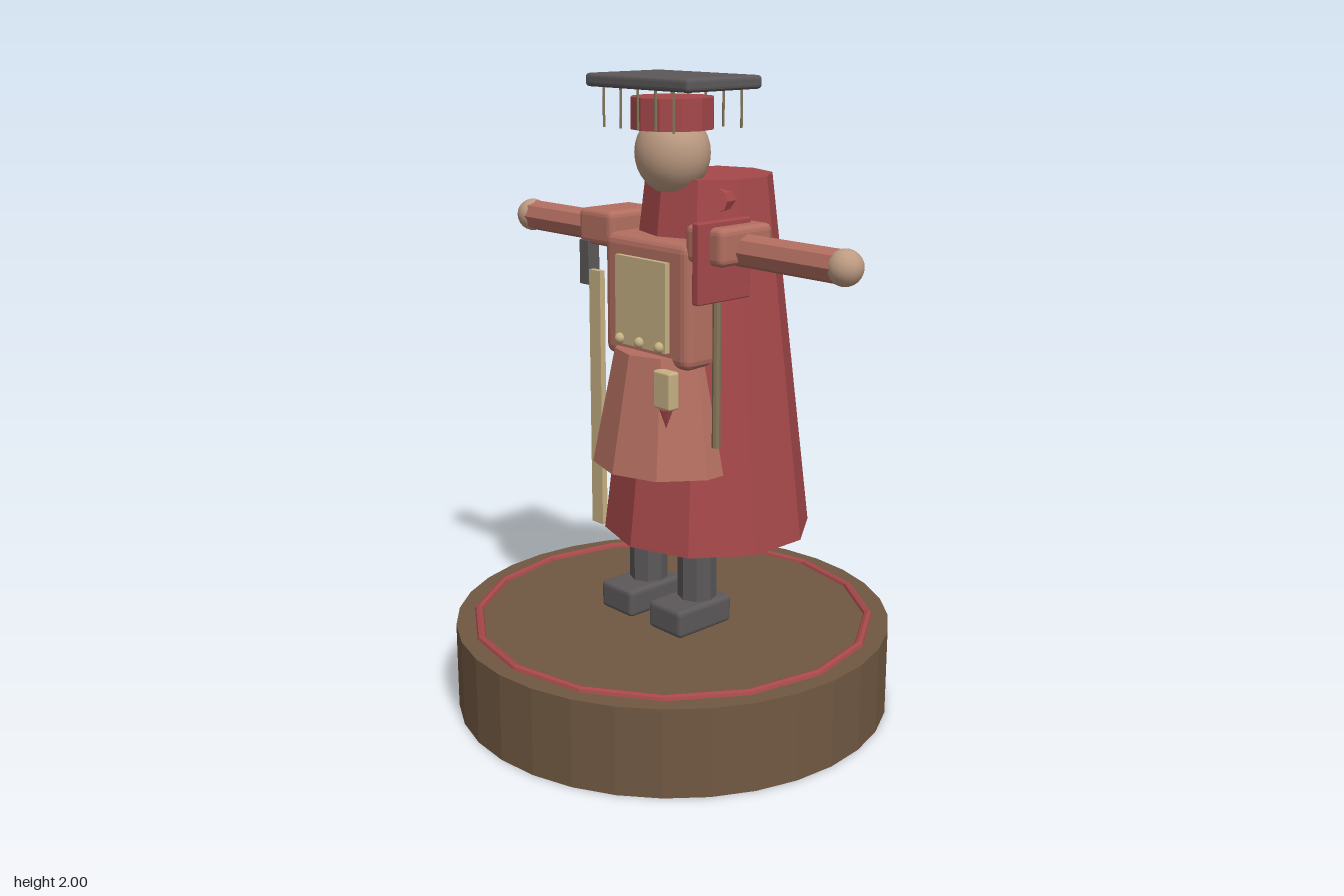
import * as THREE from 'three';
import { RoundedBoxGeometry } from 'three/addons/geometries/RoundedBoxGeometry.js';

const paint = (name, color, flatShading = true) =>
  Object.assign(new THREE.MeshStandardMaterial({ color }), { name, flatShading });

export function createModel() {
  const red = paint('robe red', 0xa5484a);
  const salmon = paint('salmon cloth', 0xb36f61);
  const gold = paint('pale gold', 0xc6b184, false);
  const skin = paint('skin', 0xbd9b82, false);
  const grey = paint('dark grey', 0x5c585a);
  const brown = paint('wood brown', 0x705842);
  const cord = paint('cord', 0x86765a);

  const model = new THREE.Group();
  model.name = 'robedFigure';

  const add = (name, geometry, material, x, y, z) => {
    const mesh = new THREE.Mesh(geometry, material);
    mesh.name = name;
    mesh.position.set(x, y, z);
    model.add(mesh);
    return mesh;
  };
  const rounded = (w, h, d, r) => new RoundedBoxGeometry(w, h, d, 2, r);
  const cone = (top, bottom, h, sides) => new THREE.CylinderGeometry(top, bottom, h, sides);

  // Round base with an inlaid ring
  add('base', cone(0.7, 0.7, 0.28, 32), brown, 0, 0.14, 0);
  add('baseRing', new THREE.TorusGeometry(0.635, 0.015, 8, 16), red, 0, 0.278, 0).rotation.x = Math.PI / 2;

  // Cape, with a half-ring collar showing at the shoulders
  add('cape', cone(0.198, 0.336, 1.145, 10), red, 0, 1.1225, -0.155);
  const collar = new THREE.TorusGeometry(0.16, 0.035, 8, 12, Math.PI);
  add('collar', collar, red, 0, 1.635, -0.04).rotation.x = -Math.PI / 2;

  // Skirt and torso
  add('skirt', cone(0.18, 0.252, 0.365, 10), salmon, 0, 0.9875, 0);
  add('torso', rounded(0.38, 0.385, 0.235, 0.03), salmon, 0, 1.328, 0);
  add('chestPlate', new THREE.BoxGeometry(0.228, 0.275, 0.02), gold, 0, 1.323, 0.125);
  for (const x of [-0.09, 0, 0.09]) {
    add('button', new THREE.SphereGeometry(0.017, 12, 8), gold, x, 1.202, 0.138);
  }

  // Legs, boots, shoulders, arms and hands on both sides
  for (const s of [-1, 1]) {
    add('leg', cone(0.062, 0.062, 0.34, 8), grey, s * 0.115, 0.48, 0);
    add('boot', rounded(0.148, 0.09, 0.228, 0.015), grey, s * 0.115, 0.328, 0.03);
    add('shoulder', rounded(0.158, 0.113, 0.215, 0.02), salmon, s * 0.244, 1.524, 0);
    add('arm', cone(0.05, 0.05, 0.52, 8), salmon, s * 0.44, 1.508, 0).rotation.z = Math.PI / 2;
    add('hand', new THREE.SphereGeometry(0.053, 16, 12), skin, s * 0.695, 1.508, 0);
  }

  // Head
  add('head', new THREE.SphereGeometry(0.12, 24, 16), skin, 0, 1.768, 0).scale.set(1, 1.05, 0.93);

  // Hat: band, flat board and two rows of hanging cords
  add('hatBand', cone(0.128, 0.128, 0.095, 12), red, 0, 1.887, 0);
  add('hatBoard', rounded(0.455, 0.04, 0.305, 0.012), grey, 0, 1.98, 0);
  for (const z of [-0.138, 0.138]) {
    for (let i = -2; i <= 2; i++) {
      add('hatCord', cone(0.004, 0.004, 0.125, 6), cord, i * 0.077, 1.905, z);
    }
  }

  // Fan with a thin handle at the left shoulder
  add('fanBlade', rounded(0.028, 0.24, 0.215, 0.005), red, 0.26, 1.477, 0.045);
  add('fanHandle', cone(0.013, 0.013, 0.46, 8), cord, 0.26, 1.14, 0.062);

  // Pouch with a pointed tassel
  add('pouch', rounded(0.075, 0.117, 0.042, 0.008), gold, 0.138, 1.083, 0.154);
  add('tassel', new THREE.ConeGeometry(0.022, 0.06, 6), red, 0.145, 0.995, 0.16).rotation.x = Math.PI;

  // Long strip with a dark grip below the right shoulder
  add('strip', new THREE.BoxGeometry(0.053, 0.84, 0.02), gold, -0.243, 0.97, 0.1);
  add('stripGrip', new THREE.BoxGeometry(0.042, 0.14, 0.045), grey, -0.29, 1.41, 0.09);

  return model;
}
